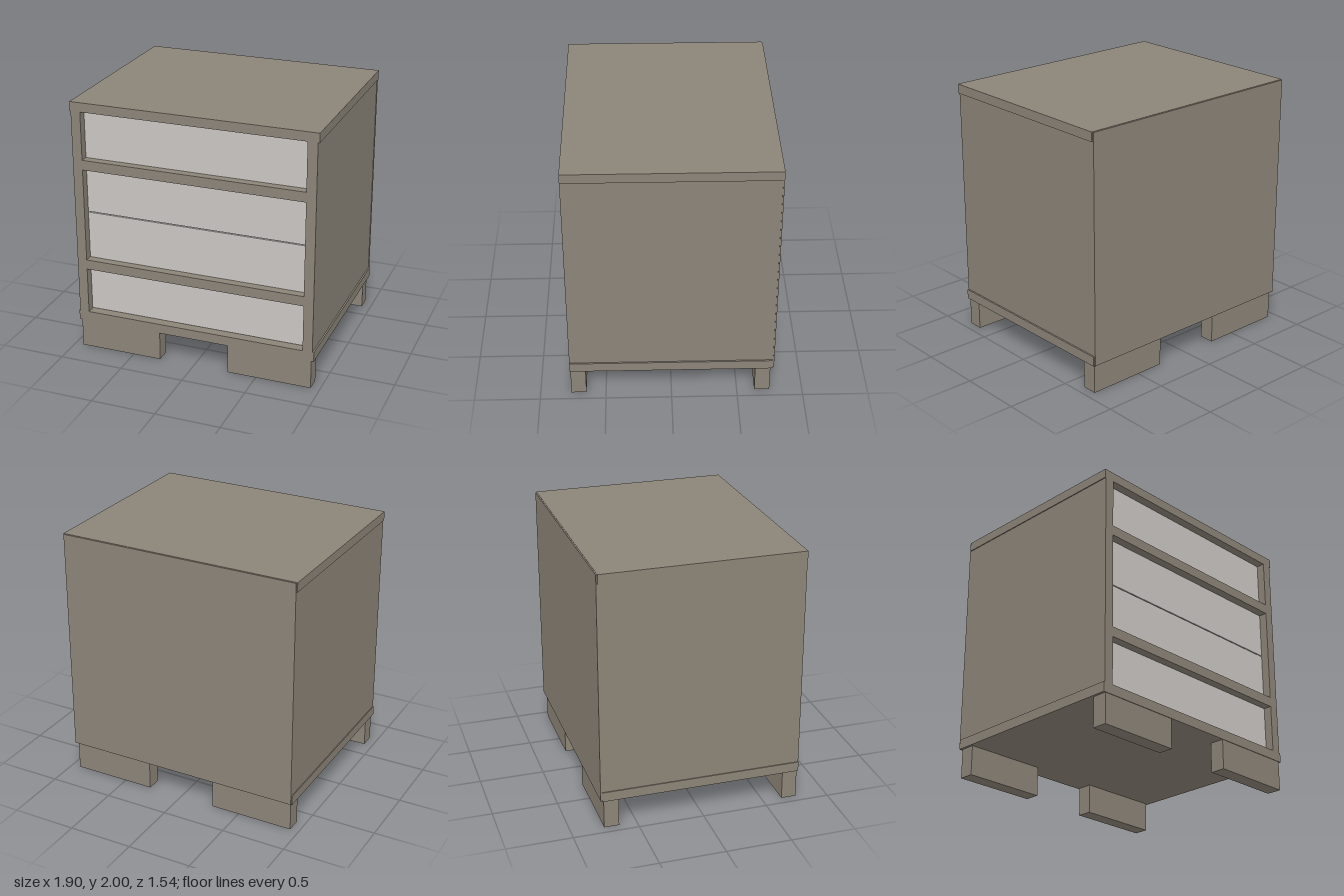
import * as THREE from 'three';

export function createModel() {
  const model = new THREE.Group();
  model.name = 'chestOfDrawers';

  const wood = new THREE.MeshStandardMaterial({ color: 0x8c8478 });
  wood.name = 'taupe wood';
  const pale = new THREE.MeshStandardMaterial({ color: 0xcac6c3 });
  pale.name = 'pale drawer fronts';

  // Box given by its lower and upper limits on each axis
  const slab = (name, material, [x0, x1], [y0, y1], [z0, z1]) => {
    const mesh = new THREE.Mesh(new THREE.BoxGeometry(x1 - x0, y1 - y0, z1 - z0), material);
    mesh.position.set((x0 + x1) / 2, (y0 + y1) / 2, (z0 + z1) / 2);
    mesh.name = name;
    model.add(mesh);
  };

  // Carcass
  const depth = [-0.765, 0.77];
  slab('topBoard', wood, [-0.95, 0.95], [1.928, 2], depth);
  slab('baseBoard', wood, [-0.95, 0.95], [0.228, 0.303], depth);
  slab('rightSide', wood, [-0.943, -0.868], [0.303, 1.928], depth);
  slab('leftSide', wood, [0.863, 0.938], [0.303, 1.928], depth);
  slab('backPanel', wood, [-0.943, 0.943], [0.232, 1.997], [-0.775, -0.765]);

  // Dividers between the drawers
  const inside = [-0.868, 0.863];
  for (const y of [0.667, 1.477]) slab('divider', wood, inside, [y, y + 0.077], depth);

  // Recessed drawer fronts, with a narrow gap between the middle two
  const fronts = [[0.309, 0.667], [0.744, 1.114], [1.121, 1.477], [1.554, 1.928]];
  for (const y of fronts) slab('drawerFront', pale, inside, y, [0.64, 0.705]);
  slab('drawerBacking', wood, inside, [0.303, 1.928], [0.6, 0.64]);

  // Wide block feet
  for (const z of [[0.65, 0.765], [-0.75, -0.635]]) {
    slab('rightFoot', wood, [-0.932, -0.278], [0, 0.228], z);
    slab('leftFoot', wood, [0.276, 0.93], [0, 0.228], z);
  }
  return model;
}
